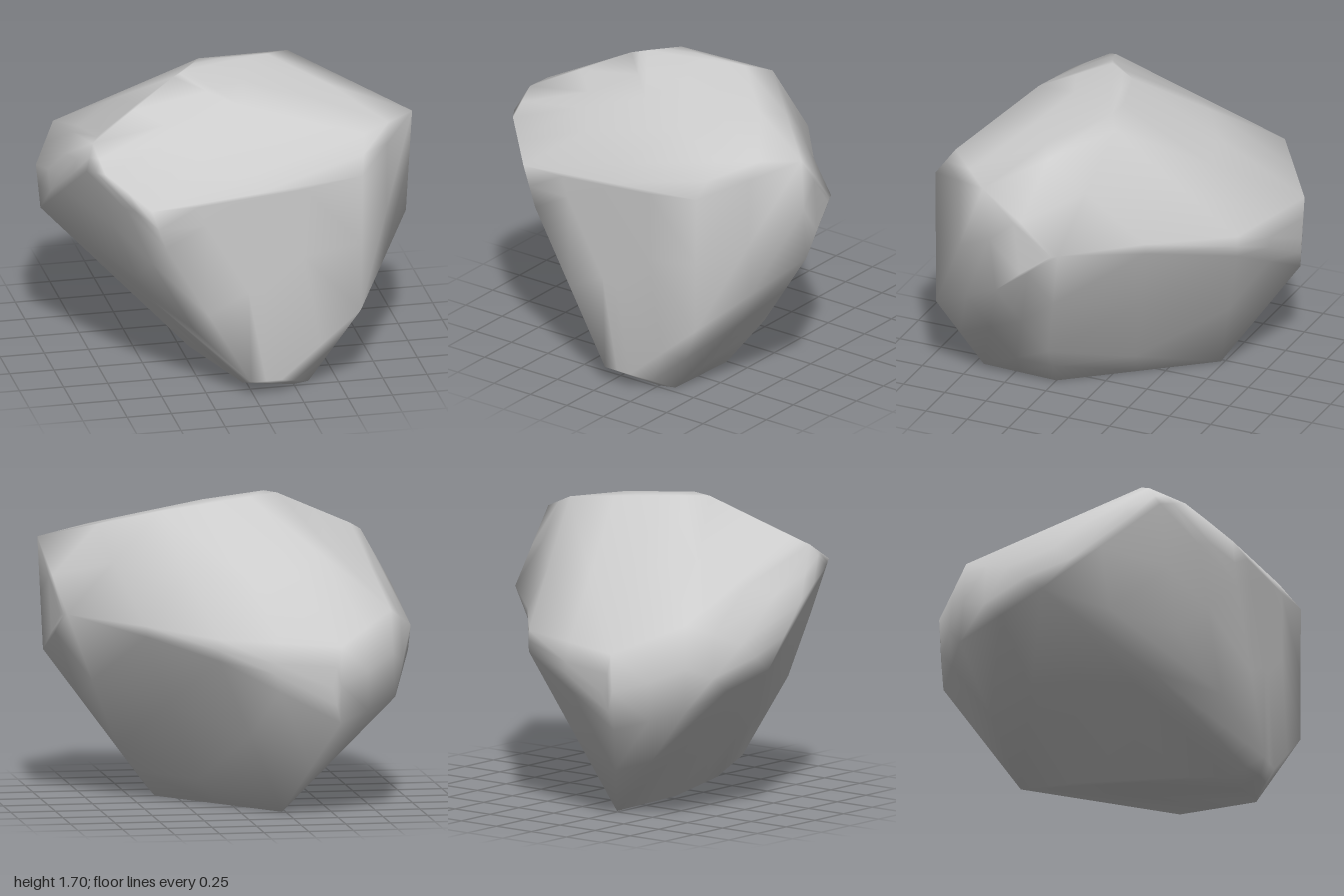
import * as THREE from 'three';
import { ConvexGeometry } from 'three/addons/geometries/ConvexGeometry.js';
import { mergeVertices } from 'three/addons/utils/BufferGeometryUtils.js';

// Corners of the boulder, from the foot up
const foot = [
  [-0.23, 0, -0.48], [-0.2, 0, 0.07], [-0.02, 0, 0.65], [0.25, 0, 0.73], [0.34, 0, 0.7], [0.36, 0, 0.25],
];
const frontFace = [
  [-0.02, 0.09, 0.87], [0.15, 0.09, 0.87], [0.6, 0.47, 0.87], [0.61, 1.27, 0.87],
  [-0.05, 1.17, 0.873], [-0.58, 1.16, 0.87], [-0.5, 0.93, 0.87],
];
const belly = [
  [0.58, 0.29, 0.2], [0.69, 0.53, 0.68], [0.97, 0.82, 0.34], [0.92, 1.05, 0.07], [0.89, 1.06, 0],
  [0.17, 1.01, -0.76], [0.17, 0.89, -0.76], [-0.5, 0.97, -0.865], [-0.45, 0.74, -0.87], [-0.5, 0.54, -0.84],
  [-0.84, 0.65, -0.63], [-0.82, 1.13, -0.6], [-0.98, 1.0, -0.31], [-1, 0.83, -0.1],
  [-0.6, 0.65, 0.56], [-0.96, 1.16, 0.23], [-0.88, 1.3, 0.55], [-0.8, 1.32, 0.67],
];
const crown = [
  [0.99, 1.44, 0.41], [0.65, 1.46, 0.73], [0, 1.6, 0.52], [0.4, 1.64, -0.12], [0.13, 1.68, 0.03],
  [-0.13, 1.69, 0.01], [-0.24, 1.7, 0.18], [-0.32, 1.68, 0.22], [-0.76, 1.475, 0.4], [-0.83, 1.43, 0.47],
];

// Splits every triangle in four, so that shading bends only close to the edges
function splitFaces(geometry) {
  const position = geometry.getAttribute('position');
  const points = [];
  for (let i = 0; i < position.count; i += 3) {
    const [a, b, c] = [0, 1, 2].map((k) => new THREE.Vector3().fromBufferAttribute(position, i + k));
    const ab = a.clone().lerp(b, 0.5);
    const bc = b.clone().lerp(c, 0.5);
    const ca = c.clone().lerp(a, 0.5);
    points.push(a, ab, ca, ab, b, bc, ca, bc, c, ab, bc, ca);
  }
  return new THREE.BufferGeometry().setFromPoints(points);
}

// Presses a shallow hollow into the surface around a point
function dent(geometry, center, radius, push) {
  const position = geometry.getAttribute('position');
  const p = new THREE.Vector3();
  for (let i = 0; i < position.count; i++) {
    p.fromBufferAttribute(position, i);
    p.addScaledVector(push, Math.max(0, 1 - p.distanceTo(center) / radius));
    position.setXYZ(i, p.x, p.y, p.z);
  }
}

export function createModel() {
  const group = new THREE.Group();
  group.name = 'boulder';

  // Faceted hull, with shared corners so the shading is smooth
  const corners = [...foot, ...frontFace, ...belly, ...crown].map((p) => new THREE.Vector3(...p));
  const geometry = mergeVertices(splitFaces(new ConvexGeometry(corners)), 1e-4);
  dent(geometry, new THREE.Vector3(0.55, 0.98, -0.36), 0.4, new THREE.Vector3(-0.025, 0, 0.025));
  geometry.computeVertexNormals();

  const rock = new THREE.Mesh(geometry, new THREE.MeshStandardMaterial({ color: 0xcccccc }));
  rock.name = 'rock';
  group.add(rock);
  return group;
}
